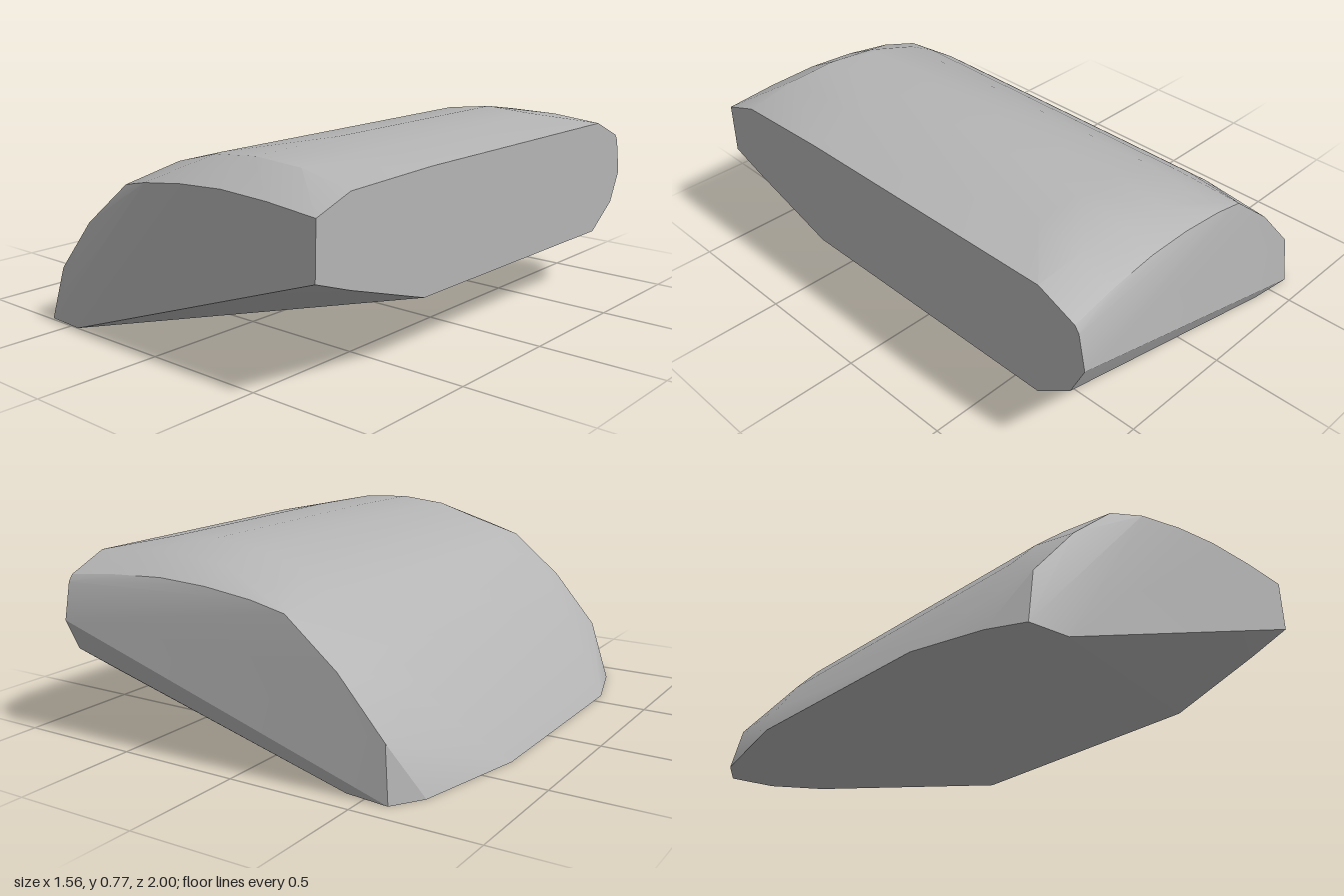
import * as THREE from 'three';
import { ConvexGeometry } from 'three/addons/geometries/ConvexGeometry.js';
import { toCreasedNormals } from 'three/addons/utils/BufferGeometryUtils.js';

export function createModel() {
  const group = new THREE.Group();
  group.name = 'roundedWedge';
  const grey = new THREE.MeshStandardMaterial({ color: 0xb4b4b4 });
  grey.name = 'plainGrey';

  const points = [];
  const add = (x, y, z) => points.push(new THREE.Vector3(x, y, z));

  // Domed crown: x, y, back z, front z
  [[-0.64, 0.185, -0.5, 0.68], [-0.51, 0.345, -0.59, 0.78], [-0.41, 0.45, -0.59, 0.8],
    [-0.29, 0.545, -0.59, 0.82], [-0.18, 0.618, -0.59, 0.82], [-0.05, 0.687, -0.59, 0.81],
    [0.16, 0.745, -0.59, 0.8], [0.36, 0.77, -0.59, 0.4], [0.57, 0.759, -0.59, 0.4],
    [0.78, 0.715, -0.79, 0.4]].forEach(([x, y, back, front]) => {
    add(x, y, back);
    add(x, y, front);
  });

  // Shoulder breaks on the front and back of the crown: x, y, z
  [[0.16, 0.742, 0.83], [0.36, 0.76, 0.83], [0.57, 0.748, 0.83], [0.78, 0.702, 0.83],
    [-0.5, 0.32, -0.79], [-0.3, 0.51, -0.79], [-0.05, 0.66, -0.79],
    [0.16, 0.715, -0.79], [0.36, 0.737, -0.79], [0.57, 0.735, -0.79]].forEach(p => add(...p));

  // Arched rims of the front and back walls: x, y, front z, back z
  [[-0.58, 0.215, 0.965, -0.895], [-0.39, 0.43, 0.97, -0.895], [-0.18, 0.605, 0.955, -0.9],
    [-0.04, 0.637, 0.985, -0.905], [0.16, 0.663, 0.993, -0.912], [0.36, 0.674, 0.995, -0.922],
    [0.57, 0.665, 0.995, -0.935], [0.78, 0.645, 0.995, -0.952]].forEach(([x, y, front, back]) => {
    add(x, y, front);
    add(x, y, back);
  });

  // Lower outline of the flat end: y, z
  [[0.435, 1], [0.375, 0.83], [0.25, 0.43], [0.245, -0.79], [0.35, -0.94],
    [0.475, -1], [0.62, -0.97]].forEach(([y, z]) => add(0.78, y, z));

  // Flat base on the ground: x, z
  [[-0.78, -0.33], [-0.78, 0.58], [-0.7, 0.86], [-0.63, 0.99], [-0.46, 0.998],
    [-0.23, 0.5], [-0.23, -0.78], [-0.42, -0.89], [-0.6, -0.91], [-0.68, -0.79]]
    .forEach(([x, z]) => add(x, 0, z));

  const body = new THREE.Mesh(toCreasedNormals(new ConvexGeometry(points), 0.4), grey);
  body.name = 'body';
  group.add(body);
  return group;
}
